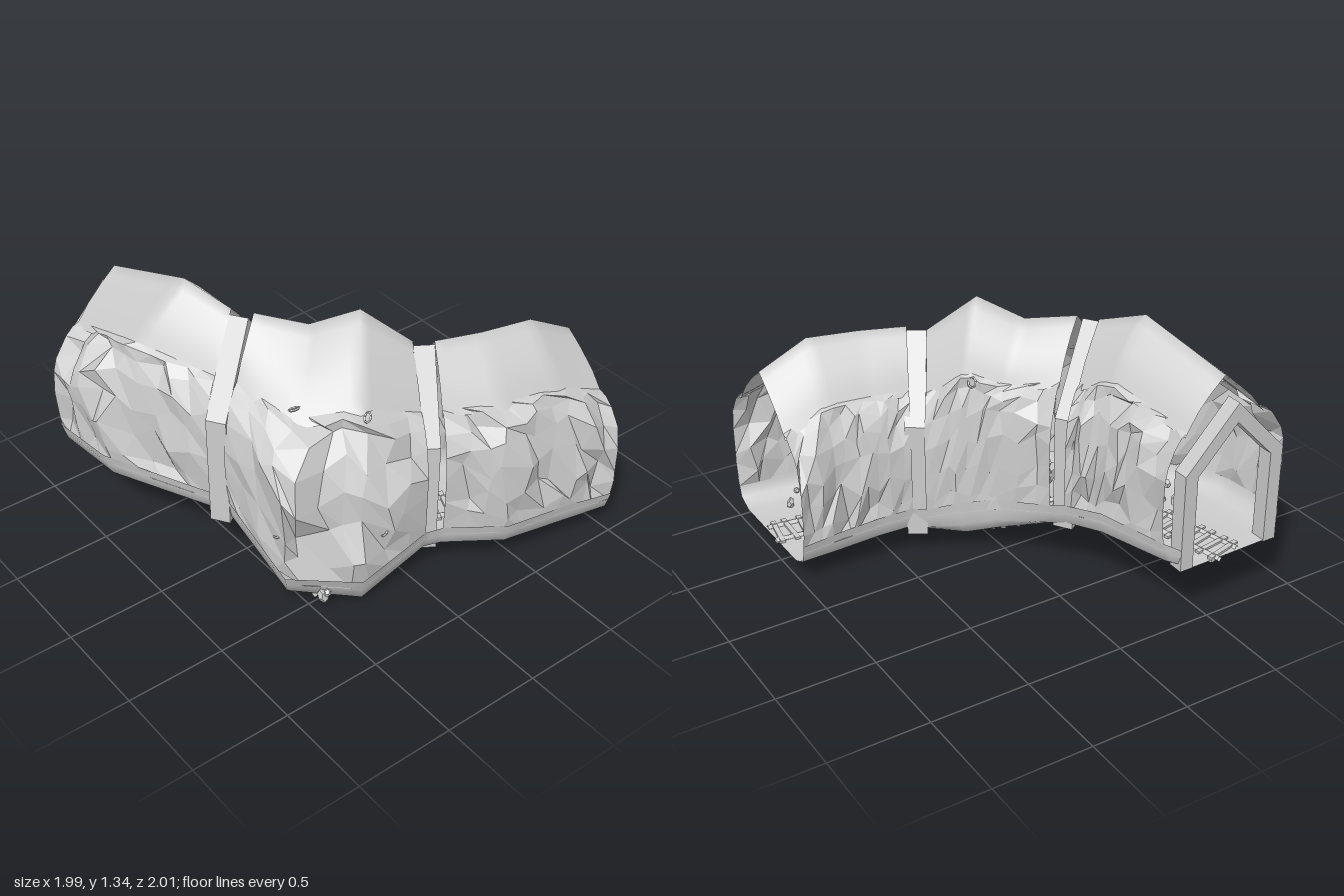
import * as THREE from 'three';

const mat = new THREE.MeshStandardMaterial({ color: 0xcccccc, side: THREE.DoubleSide });
const flatMat = new THREE.MeshStandardMaterial({ color: 0xcccccc, side: THREE.DoubleSide, flatShading: true });
const lerp = THREE.MathUtils.lerp;

// seeded noise, 0..1
const hash = (a, b, c = 0) => {
  const s = Math.sin(a * 127.1 + b * 311.7 + c * 74.7) * 43758.5453;
  return s - Math.floor(s);
};

// Stations: outer x,z | inner x,z | ridge x,z | floor outer y, floor inner y, ridge y
const sections = [
  [
    [-0.985, -0.90, -0.26, -0.93, -0.58, -0.92, 0.31, 0.30, 1.21],
    [-0.96, -0.55, -0.17, -0.58, -0.49, -0.44, 0.30, 0.28, 1.34],
    [-0.68, -0.03, -0.10, -0.37, -0.39, -0.21, 0.27, 0.25, 1.25],
  ],
  [
    [-0.64, 0.05, -0.05, -0.32, -0.33, -0.12, 0.25, 0.24, 1.25],
    [-0.64, 0.50, 0.11, -0.07, -0.15, 0.06, 0.03, 0.20, 1.21],
    [-0.34, 0.71, 0.25, 0.02, 0.02, 0.22, -0.03, 0.16, 1.305],
    [0.05, 0.70, 0.38, 0.12, 0.22, 0.36, 0.12, 0.13, 1.12],
  ],
  [
    [0.13, 0.73, 0.43, 0.16, 0.29, 0.43, 0.13, 0.13, 1.13],
    [0.40, 0.90, 0.60, 0.19, 0.51, 0.51, 0.11, 0.11, 1.13],
    [0.75, 0.95, 0.80, 0.20, 0.76, 0.57, 0.09, 0.09, 1.13],
    [1.00, 1.00, 1.00, 0.20, 1.00, 0.60, 0.09, 0.09, 1.00],
  ],
];

// Point in a run of stations: t along, u across (0 outer, 1 inner), h height share
function place(stations, t, u, h) {
  const f = t * (stations.length - 1), i = Math.min(Math.floor(f), stations.length - 2);
  const s = stations[i].map((v, k) => lerp(v, stations[i + 1][k], f - i));
  const bend = 4 * u * (1 - u);
  const x = lerp(s[0], s[2], u) + (s[4] - (s[0] + s[2]) / 2) * bend;
  const z = lerp(s[1], s[3], u) + (s[5] - (s[1] + s[3]) / 2) * bend;
  const base = lerp(s[6], s[7], u);
  return [x, base + h * (s[8] - base), z];
}

// Surface from a rule fn(i, j) -> [x, y, z]
function grid(nu, nv, fn) {
  const pos = [], idx = [];
  for (let i = 0; i <= nu; i++) for (let j = 0; j <= nv; j++) pos.push(...fn(i, j));
  for (let i = 0; i < nu; i++) for (let j = 0; j < nv; j++) {
    const a = i * (nv + 1) + j, b = a + nv + 1;
    idx.push(a, b, a + 1, b, b + 1, a + 1);
  }
  const g = new THREE.BufferGeometry();
  g.setAttribute('position', new THREE.Float32BufferAttribute(pos, 3));
  g.setIndex(idx);
  g.computeVertexNormals();
  return g;
}

// Interpolate along a short list of [u, h] profile points
function along(profile, v) {
  const f = v * (profile.length - 1), i = Math.min(Math.floor(f), profile.length - 2);
  return [0, 1].map(k => lerp(profile[i][k], profile[i + 1][k], f - i));
}

const wallProfile = [[0.03, 0.1], [0.005, 0.2], [0, 0.34], [0, 0.48], [0.03, 0.6], [0.1, 0.69], [0.16, 0.74], [0.21, 0.75]];
const roofProfile = [[0.18, 0.72], [0.28, 0.835], [0.39, 0.925], [0.5, 1], [0.61, 0.925], [0.72, 0.835], [0.82, 0.72]];
const floorProfile = [[0.015, 0.15], [0.05, 0.04], [0.15, 0], [0.5, 0], [0.85, 0], [0.95, 0.04], [0.985, 0.15]];

export function createModel() {
  const model = new THREE.Group();
  const add = (name, geo, m = mat, parent = model) => {
    const mesh = new THREE.Mesh(geo, m);
    mesh.name = name;
    parent.add(mesh);
    return mesh;
  };

  sections.forEach((st, n) => {
    // smooth roof
    add('roof', grid(18, 12, (i, j) => place(st, i / 18, ...along(roofProfile, j / 12))));

    // rough rock walls: large facets, a sunken hollow with a raised rim, and an upright rib
    for (const side of [0, 1]) {
      const nu = 10, nv = 7;
      add(side ? 'innerRockWall' : 'outerRockWall', grid(nu, nv, (i, j) => {
        const seed = n * 2 + side + 3;
        const edgeI = i === 0 || i === nu, edgeJ = j === 0 || j === nv;
        const t = (i + (edgeI ? 0 : (hash(i, j, seed) - 0.5) * 0.8)) / nu;
        const v = (j + (edgeJ ? 0 : (hash(j, i, seed + 9) - 0.5) * 0.7)) / nv;
        let [u, h] = along(wallProfile, v);
        const e = Math.hypot((t - 0.62) / 0.24, (v - 0.52) / 0.36);
        const rib = Math.abs(t - 0.25) < 0.07;
        let inset = hash(i + 5, j + 2, seed) * 0.085;
        if (e < 0.8) inset = 0.06 + hash(i, j) * 0.01;
        else if (e < 1.15 || rib) inset *= 0.12;
        if (edgeI) inset = 0.01 * hash(i, j, 2);
        u += edgeJ ? 0 : inset;
        return place(st, t, side ? 1 - u : u, h);
      }), flatMat);
    }
  });

  // one continuous floor with turned-up edges, reaching through the back frame
  const all = [[-0.90, -1, -0.31, -1, -0.605, -1, 0.31, 0.30, 1.1], ...sections.flat()];
  add('floor', grid(44, 12, (i, j) => place(all, i / 44, ...along(floorProfile, j / 12))));

  // gabled timber frames: x, z, base, shoulder, apex, half width, depth, turn
  [
    [-0.605, -0.96, 0.30, 0.80, 1.10, 0.28, 0.08, 0],
    [-0.385, -0.165, 0.26, 0.85, 1.23, 0.32, 0.1, 0.58],
    [0.25, 0.405, 0.13, 0.73, 1.11, 0.29, 0.1, 1.0],
  ].forEach(([x, z, base, sh, top, w, depth, turn]) => {
    const s = sh - base, a = top - base, p = 0.07;
    const shape = new THREE.Shape([
      [-w, 0], [-w + p, 0], [-w + p, s - 0.02], [0, a - 0.1], [w - p, s - 0.02],
      [w - p, 0], [w, 0], [w, s], [0, a], [-w, s],
    ].map(q => new THREE.Vector2(...q)));
    const g = new THREE.ExtrudeGeometry(shape, { depth, bevelEnabled: false });
    g.translate(0, 0, -depth / 2);
    const frame = add('supportFrame', g, flatMat);
    frame.position.set(x, base, z);
    frame.rotation.y = turn;
  });

  // railway track bedded in the floor, following the bend
  const track = new THREE.Group();
  track.name = 'track';
  model.add(track);
  const path = new THREE.CatmullRomCurve3(
    [0, 0.2, 0.3, 0.5, 0.62, 0.73, 0.82, 0.91, 1].map(t => new THREE.Vector3(...place(all, t, 0.5, 0))));
  const lateral = t => {
    const d = path.getTangentAt(t);
    return new THREE.Vector3(d.z, 0, -d.x).normalize();
  };
  for (const s of [-1, 1]) {
    const pts = [];
    for (let i = 0; i <= 24; i++) {
      pts.push(path.getPointAt(i / 24).addScaledVector(lateral(i / 24), s * 0.065));
    }
    add('rail', new THREE.TubeGeometry(new THREE.CatmullRomCurve3(pts), 60, 0.016, 4), flatMat, track);
  }
  const sleeperGeo = new THREE.BoxGeometry(0.2, 0.026, 0.025);
  for (let i = 0; i < 38; i++) {
    const t = (i + 0.5) / 38, l = lateral(t);
    const sleeper = add('sleeper', sleeperGeo, flatMat, track);
    sleeper.position.copy(path.getPointAt(t));
    sleeper.rotation.y = Math.atan2(-l.z, l.x) + (hash(i, 1) - 0.5) * 0.12;
  }

  // loose stones and shard heaps: x, y, z, spread, count, size, stretch
  [
    [-0.45, 0.08, 0.53, 0.05, 5, 0.035, 1.2],
    [-0.18, 0.09, 0.57, 0.06, 6, 0.038, 1.2],
    [-0.34, 0.15, 0.42, 0.13, 14, 0.05, 2.6],
    [0.2, 0.15, 0.24, 0.05, 4, 0.025, 1],
    [0.75, 0.11, 0.80, 0.08, 5, 0.025, 1],
    [-0.7, 0.32, -0.45, 0.08, 5, 0.03, 1],
  ].forEach(([x, y, z, spread, count, size, stretch], k) => {
    for (let i = 0; i < count; i++) {
      const r = c => hash(i + 1, k + 2, c);
      const stone = add('looseStone', new THREE.DodecahedronGeometry(size * (0.5 + r(1) * 0.6)), flatMat);
      stone.scale.set(0.9, stretch * (0.7 + r(2) * 0.6), 0.8);
      stone.position.set(x + (r(3) - 0.5) * 2 * spread, y + (r(4) - 0.5) * 0.05, z + (r(5) - 0.5) * 2 * spread);
      stone.rotation.set((r(6) - 0.5) * 0.9, r(7) * 6, (r(8) - 0.5) * 0.9);
    }
  });

  // small iron rings on the rock
  [[-0.42, 0.99, 0.3], [-0.2, 0.99, 0.55], [0.17, 0.97, 0.02], [-0.59, 0.4, 0.4], [-0.18, 0.39, 0.66]].forEach((p, i) => {
    const ring = add('ironRing', new THREE.TorusGeometry(0.025, 0.006, 4, 7), flatMat);
    ring.position.set(...p);
    ring.rotation.set(1.1, i, 0.3);
  });

  return model;
}
